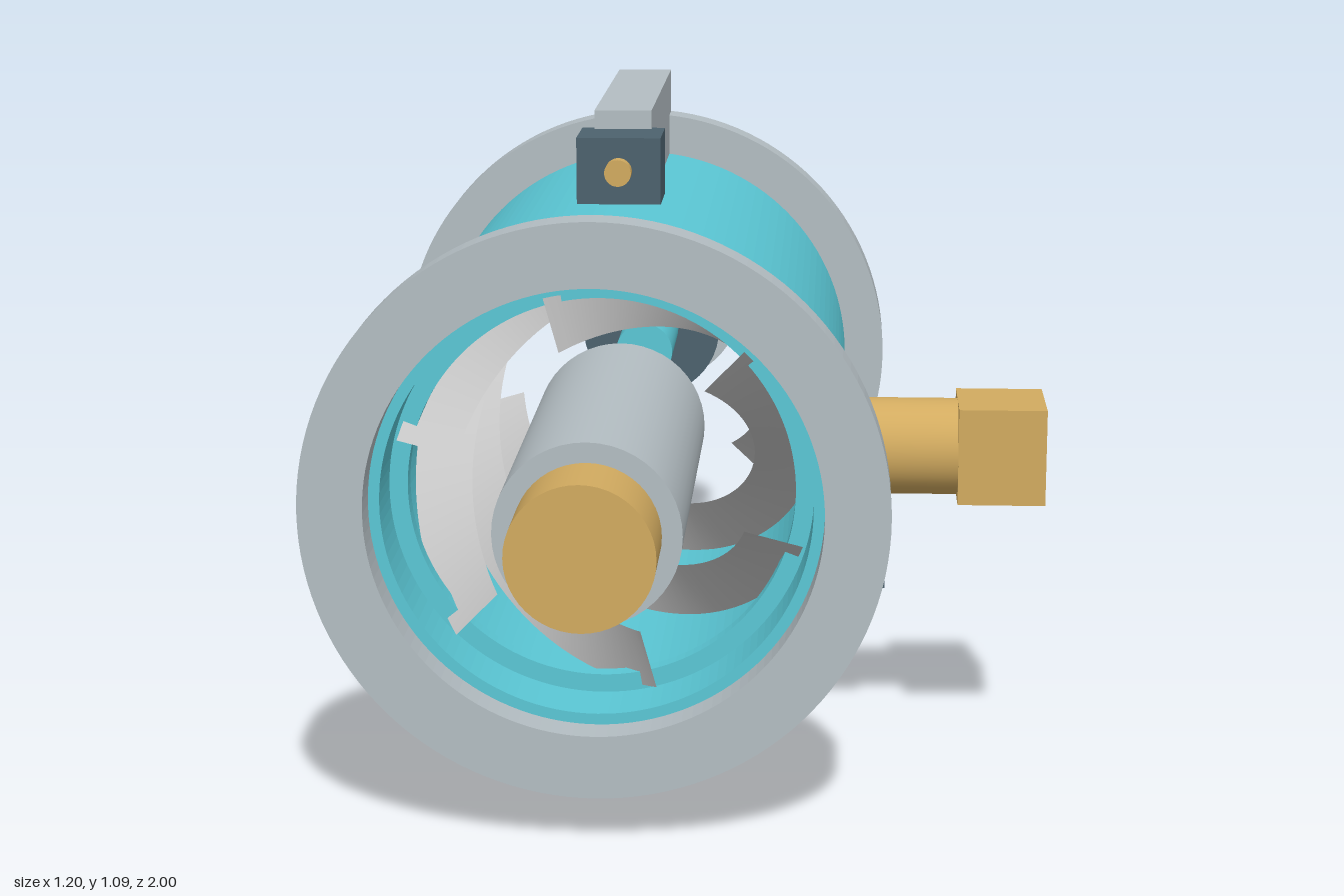
import * as THREE from 'three';

const AX = -0.133, AY = 0.545; // main axis of the barrel

export function createModel() {
  const model = new THREE.Group();
  model.name = 'cylindricalChamber';

  const material = (name, color, side = THREE.FrontSide) => {
    const m = new THREE.MeshStandardMaterial({ color, side });
    m.name = name;
    return m;
  };
  const cyan = material('cyan', 0x5bc8d6);
  const grey = material('lightGrey', 0xb4bec3);
  const slate = material('slate', 0x4d626e);
  const gold = material('gold', 0xd2ab60);
  const steel = material('bladeSteel', 0xc4c4c4, THREE.DoubleSide);

  const add = (name, geometry, mat, x = 0, y = 0, z = 0) => {
    const mesh = new THREE.Mesh(geometry, mat);
    mesh.name = name;
    mesh.position.set(x, y, z);
    model.add(mesh);
    return mesh;
  };
  // Solid cylinder along the barrel axis from z0 to z1
  const rod = (name, r, z0, z1, mat, x = AX, y = AY) => {
    const g = new THREE.CylinderGeometry(r, r, z1 - z0, 48);
    g.rotateX(Math.PI / 2);
    return add(name, g, mat, x, y, (z0 + z1) / 2);
  };
  // Hollow cylinder along the barrel axis
  const ring = (name, outer, inner, z0, z1, mat) => {
    const s = new THREE.Shape().absarc(0, 0, outer, 0, Math.PI * 2, false);
    s.holes.push(new THREE.Path().absarc(0, 0, inner, 0, Math.PI * 2, true));
    const g = new THREE.ExtrudeGeometry(s, { depth: z1 - z0, bevelEnabled: false, curveSegments: 64 });
    return add(name, g, mat, AX, AY, z0);
  };
  const box = (name, w, h, d, mat, x, y, z) => add(name, new THREE.BoxGeometry(w, h, d), mat, x, y, z);

  // Barrel, end flanges and the inner rings that hold the blades
  ring('barrel', 0.393, 0.345, -0.475, 0.7, cyan);
  ring('frontFlange', 0.467, 0.363, 0.695, 0.76, grey);
  ring('rearFlange', 0.467, 0.363, -0.535, -0.47, grey);
  ring('frontBladeRing', 0.347, 0.315, 0.56, 0.59, cyan);
  ring('rearBladeRing', 0.347, 0.315, -0.36, -0.33, cyan);

  // Six twisted blades lining the barrel
  const start = THREE.MathUtils.degToRad(105.5), twist = 2.6, zFront = 0.62, zBack = -0.39;
  for (let k = 0; k < 6; k++) {
    const g = new THREE.PlaneGeometry(1, 1, 1, 48);
    const p = g.attributes.position;
    for (let i = 0; i < p.count; i++) {
      const r = 0.289 + p.getX(i) * 0.098;
      const t = 0.5 - p.getY(i);
      const a = start + (k * Math.PI) / 3 - twist * t;
      p.setXYZ(i, r * Math.cos(a), r * Math.sin(a), zFront + (zBack - zFront) * t);
    }
    g.computeVertexNormals();
    add('twistedBlade', g, steel, AX, AY, 0);
  }

  // Front inlet
  rod('inletTube', 0.147, 0.15, 0.868, grey);
  rod('inletCap', 0.115, 0.86, 1.0, gold);

  // Rear drive: shaft, body and pierced end disc
  rod('driveShaft', 0.055, -0.7, -0.46, cyan);
  rod('driveBody', 0.138, -0.965, -0.68, slate);
  ring('driveDisc', 0.172, 0.045, -1.0, -0.96, grey);

  // Side fitting
  const neck = new THREE.CylinderGeometry(0.0825, 0.0825, 0.24, 40);
  neck.rotateZ(Math.PI / 2);
  add('sidePipe', neck, gold, 0.34, AY, 0.275);
  box('sideConnector', 0.148, 0.165, 0.165, gold, 0.526, AY, 0.275);

  // Rails above and below
  for (const s of [1, -1]) {
    box(s > 0 ? 'topRail' : 'bottomRail', 0.1, 0.16, 0.595, grey, AX, AY + s * 0.465, -0.2325);
  }

  // Three blocks spaced around the barrel, each with a small plug in front
  for (const deg of [90, 210, 330]) {
    const a = THREE.MathUtils.degToRad(deg);
    const x = AX + 0.455 * Math.cos(a), y = AY + 0.455 * Math.sin(a);
    box('sensorBlock', 0.145, 0.115, 0.13, slate, x, y, 0.112);
    rod('sensorPlug', 0.023, 0.17, 0.202, gold, x, y);
  }
  return model;
}
